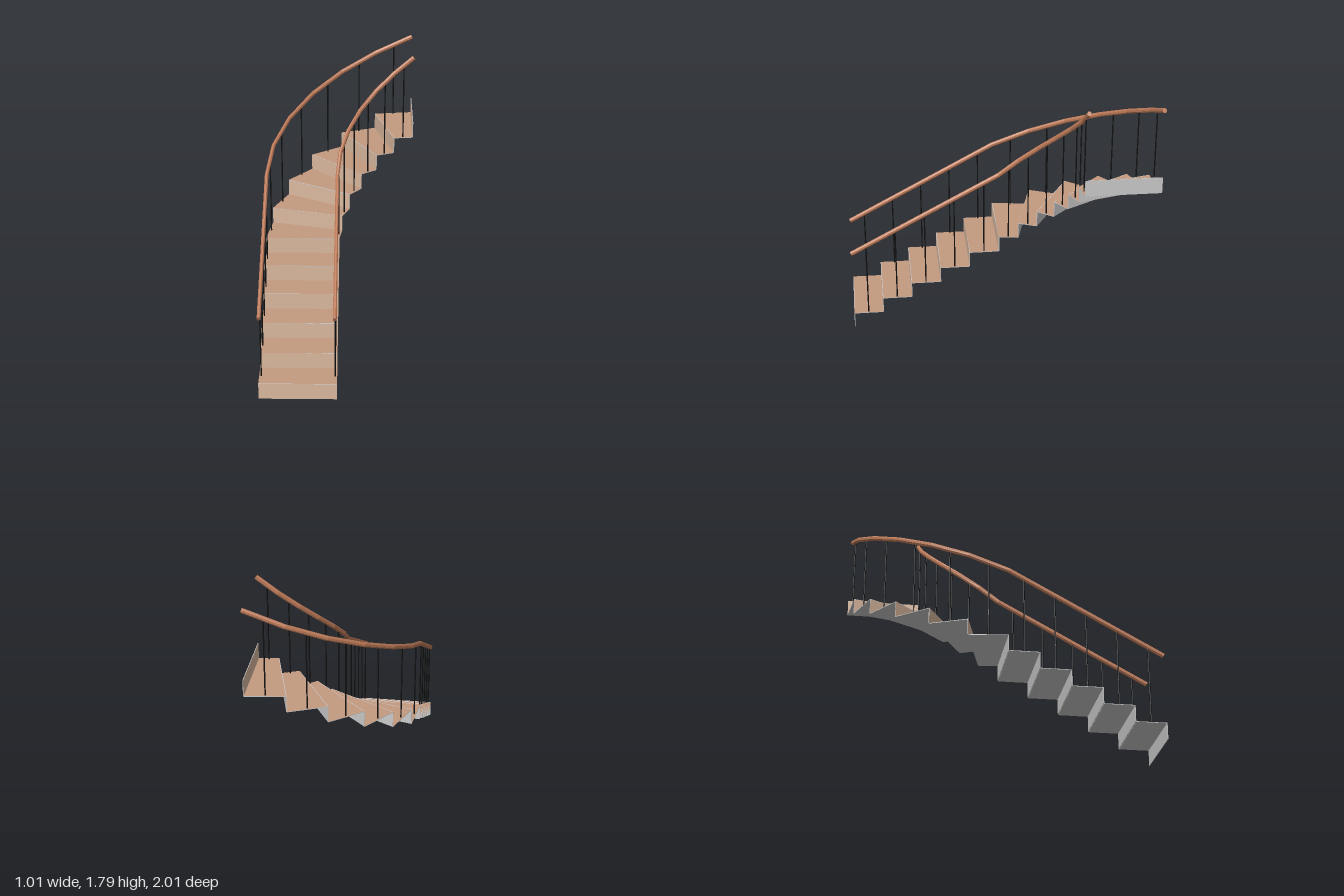
import * as THREE from 'three';

const RISE = 0.1091, STRAIGHT = 5, STEPS = 11; // 5 straight treads, 6 winders
const CX = 0.497, CZ = -0.003, OUTER = 0.997, INNER = 0.499, THICKNESS = 0.004;
const RAIL_HEIGHT = 0.464, RAIL_WIDTH = 0.013, RAIL_DEPTH = 0.0165; // half sizes

const mat = (color) => new THREE.MeshStandardMaterial({ color, flatShading: true });
const treadMat = mat(0xc59a80), riserMat = mat(0xdcbaa0), underMat = mat(0xcccccc);
const railMat = mat(0xbd7a58), balusterMat = mat(0x111111);

// Angle around the turn at step line k (0 on the straight flight)
const angleAt = (k) => Math.max(0, k - STRAIGHT) * Math.PI / 12;

// Point on step line k, at a given radius from the turn's centre
function stepPoint(k, radius, y) {
  const a = angleAt(k);
  const back = k < STRAIGHT ? (1 - CZ) * (1 - k / STRAIGHT) : 0;
  return new THREE.Vector3(CX - radius * Math.cos(a), y, CZ + back - radius * Math.sin(a));
}

function facesGeometry(quads) {
  const pos = [];
  for (const [a, b, c, d] of quads) for (const v of [a, b, c, a, c, d]) pos.push(v.x, v.y, v.z);
  const g = new THREE.BufferGeometry();
  g.setAttribute('position', new THREE.Float32BufferAttribute(pos, 3));
  g.computeVertexNormals();
  return g;
}

function addMesh(parent, name, geometry, material) {
  const m = new THREE.Mesh(geometry, material);
  m.name = name;
  parent.add(m);
  return m;
}

// Thin board: coloured face in front, grey back and edges
function addPanel(parent, name, quad, material) {
  const [a, b, c] = quad;
  const normal = b.clone().sub(a).cross(c.clone().sub(a)).normalize();
  const rear = quad.map((p) => p.clone().addScaledVector(normal, -THICKNESS));
  const shell = [[...rear].reverse()];
  for (let i = 0; i < 4; i++) {
    const j = (i + 1) % 4;
    shell.push([quad[i], rear[i], rear[j], quad[j]]);
  }
  const panel = new THREE.Group();
  panel.name = name;
  addMesh(panel, name + 'Face', facesGeometry([quad]), material);
  addMesh(panel, name + 'Back', facesGeometry(shell), underMat);
  parent.add(panel);
}

// Eight-sided handrail swept along the step lines, mitred at each bend
function railGeometry(radius) {
  const pts = [];
  for (let k = 0; k <= STEPS; k++) pts.push(stepPoint(k, radius, RISE * (k + 1) + RAIL_HEIGHT));
  const N = 8;
  const rings = pts.map((p, k) => {
    const dir = new THREE.Vector3();
    if (k > 0) dir.add(p.clone().sub(pts[k - 1]).normalize());
    if (k < STEPS) dir.add(pts[k + 1].clone().sub(p).normalize());
    const a = angleAt(k);
    const side = new THREE.Vector3(Math.cos(a), 0, Math.sin(a));
    const up = side.clone().cross(dir).normalize();
    return Array.from({ length: N }, (_, i) => {
      const t = (i + 0.5) / N * Math.PI * 2;
      return p.clone().addScaledVector(side, RAIL_WIDTH * Math.cos(t))
        .addScaledVector(up, RAIL_DEPTH * Math.sin(t));
    });
  });
  const quads = [];
  for (let k = 0; k < STEPS; k++) {
    for (let i = 0; i < N; i++) {
      const j = (i + 1) % N;
      quads.push([rings[k][i], rings[k + 1][i], rings[k + 1][j], rings[k][j]]);
    }
  }
  // End caps
  const s = rings[0], e = rings[STEPS];
  for (let i = 1; i < N - 1; i += 2) {
    quads.push([s[0], s[i], s[i + 1], s[i + 2]], [e[0], e[i + 2], e[i + 1], e[i]]);
  }
  return facesGeometry(quads);
}

export function createModel() {
  const model = new THREE.Group();
  model.name = 'staircase';

  // Steps, with one extra riser up to the landing
  const steps = new THREE.Group();
  steps.name = 'steps';
  model.add(steps);
  for (let k = 0; k <= STEPS; k++) {
    const low = RISE * k, high = RISE * (k + 1);
    addPanel(steps, 'riser', [
      stepPoint(k, OUTER, low), stepPoint(k, INNER, low),
      stepPoint(k, INNER, high), stepPoint(k, OUTER, high),
    ], riserMat);
    if (k === STEPS) break;
    addPanel(steps, 'tread', [
      stepPoint(k, OUTER, high), stepPoint(k, INNER, high),
      stepPoint(k + 1, INNER, high), stepPoint(k + 1, OUTER, high),
    ], treadMat);
  }

  // Outer and inner balustrades, one baluster per tread
  const length = RAIL_HEIGHT + RISE / 2;
  const balusterGeo = new THREE.CylinderGeometry(0.0045, 0.0045, length, 8);
  for (const [name, radius] of [['outer', OUTER - RAIL_WIDTH], ['inner', INNER + RAIL_WIDTH]]) {
    const side = new THREE.Group();
    side.name = name + 'Balustrade';
    model.add(side);
    addMesh(side, name + 'Handrail', railGeometry(radius), railMat);
    for (let k = 0; k < STEPS; k++) {
      const y = RISE * (k + 1) + length / 2;
      addMesh(side, name + 'Baluster', balusterGeo, balusterMat)
        .position.copy(stepPoint(k, radius, y)).lerp(stepPoint(k + 1, radius, y), 0.5);
    }
  }
  return model;
}
